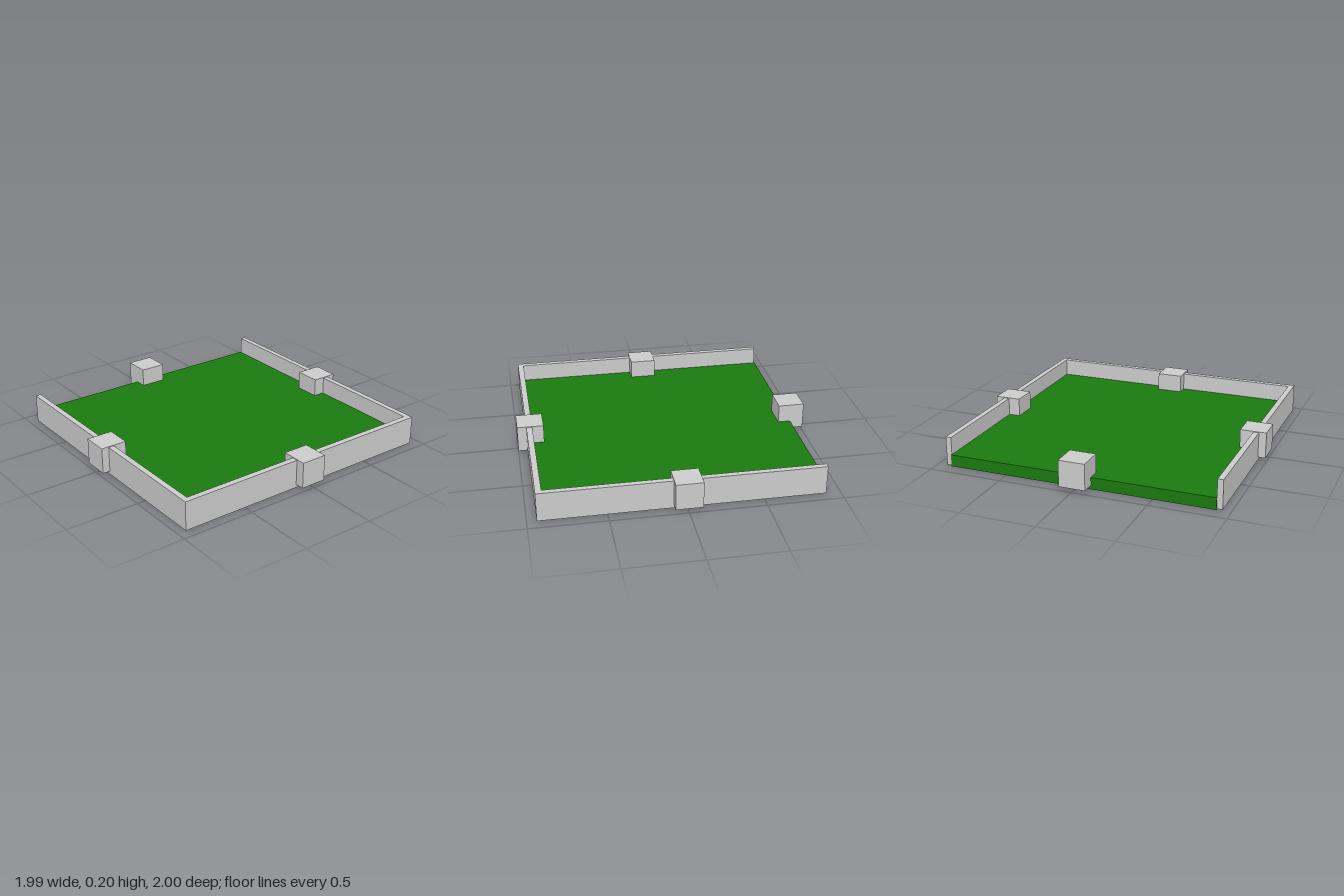
import * as THREE from 'three';

const grey = new THREE.MeshStandardMaterial({ color: 0xcccccc, flatShading: true });
const green = new THREE.MeshStandardMaterial({ color: 0x1a7a10, flatShading: true });

// Box spanning two opposite corners
function block(name, material, [x0, y0, z0], [x1, y1, z1]) {
  const mesh = new THREE.Mesh(new THREE.BoxGeometry(x1 - x0, y1 - y0, z1 - z0), material);
  mesh.position.set((x0 + x1) / 2, (y0 + y1) / 2, (z0 + z1) / 2);
  mesh.name = name;
  return mesh;
}

export function createModel() {
  const model = new THREE.Group();
  model.name = 'walledField';

  // Green slab, open at the back
  model.add(block('floor', green, [-0.908, 0, -0.908], [0.899, 0.08, 0.899]));

  // Walls on three sides
  const bottom = 0.005, top = 0.2;
  model.add(
    block('rightWall', grey, [-0.945, bottom, -0.902], [-0.907, top, 0.938]),
    block('leftWall', grey, [0.895, bottom, -0.902], [0.933, top, 0.938]),
    block('frontWall', grey, [-0.907, bottom, 0.898], [0.895, top, 0.938]),
  );

  // One cube at the middle of each side
  const size = 0.178;
  const cubes = [
    ['frontCube', -0.005, 0.911],
    ['backCube', -0.005, -0.911],
    ['leftCube', 0.904, -0.003],
    ['rightCube', -0.907, -0.003],
  ];
  for (const [name, x, z] of cubes) {
    const cube = new THREE.Mesh(new THREE.BoxGeometry(size, size, size), grey);
    cube.position.set(x, 0.116, z);
    cube.name = name;
    model.add(cube);
  }
  return model;
}
